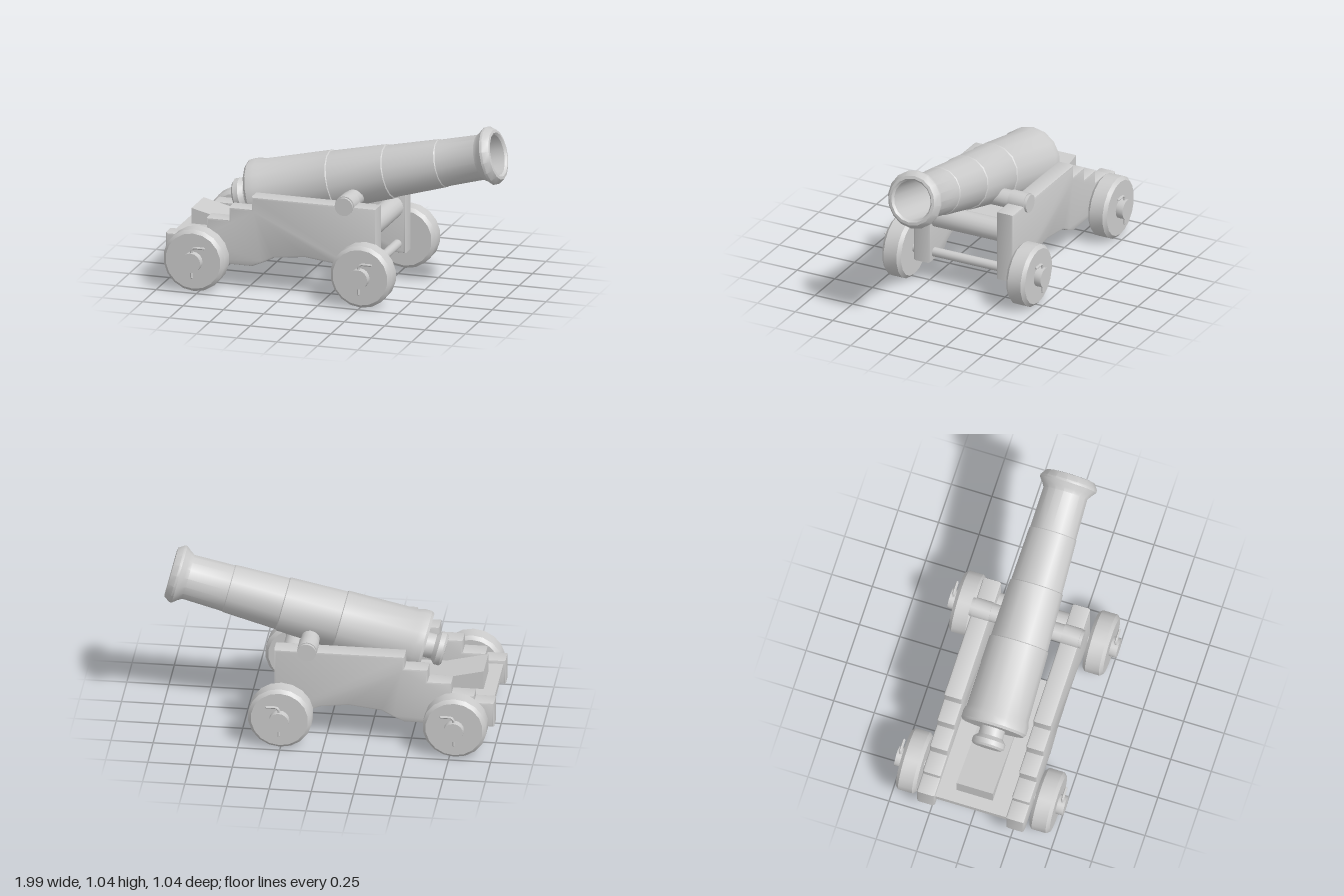
import * as THREE from 'three';
import { toCreasedNormals } from 'three/addons/utils/BufferGeometryUtils.js';

const material = new THREE.MeshStandardMaterial({ color: 0xcccccc });

function add(parent, name, geometry, x = 0, y = 0, z = 0) {
  const mesh = new THREE.Mesh(toCreasedNormals(geometry, 0.6), material);
  mesh.name = name;
  mesh.position.set(x, y, z);
  parent.add(mesh);
  return mesh;
}

const lathe = (points, sides) =>
  new THREE.LatheGeometry(points.map(([r, h]) => new THREE.Vector2(r, h)), sides);

// Cylinder lying along z
const rod = (radius, length, sides = 16) =>
  new THREE.CylinderGeometry(radius, radius, length, sides).rotateX(Math.PI / 2);

// Flat outline in x and y, extruded along z and centred on it
function slab(points, depth, bevel = 0) {
  const shape = new THREE.Shape(points.map(([x, y]) => new THREE.Vector2(x, y)));
  return new THREE.ExtrudeGeometry(shape, {
    depth: depth - 2 * bevel, bevelEnabled: bevel > 0, bevelThickness: bevel,
    bevelSize: bevel, bevelOffset: -bevel, bevelSegments: 2,
  }).translate(0, 0, bevel - depth / 2);
}

function buildBarrel() {
  const barrel = new THREE.Group();
  barrel.name = 'barrel';
  // Radius and distance from the breech: knob, tapered tube, flared muzzle, bore
  const profile = [
    [0, -0.12], [0.085, -0.118], [0.1, -0.105], [0.1, -0.075], [0.075, -0.05], [0.075, 0],
    [0.188, 0], [0.2, 0.015], [0.2, 0.06], [0.19, 0.09],
    [0.181, 0.52], [0.175, 0.525], [0.163, 0.87], [0.157, 0.875], [0.145, 1.2], [0.141, 1.205],
    [0.135, 1.45], [0.15, 1.475], [0.174, 1.505], [0.174, 1.52], [0.15, 1.555], [0.133, 1.558],
    [0.121, 1.545], [0.119, 0.35], [0, 0.33],
  ];
  add(barrel, 'tube', lathe(profile, 16));
  barrel.position.set(-0.553, 0.499, 0);
  barrel.rotation.z = THREE.MathUtils.degToRad(14.2 - 90);
  return barrel;
}

function buildCheek(side) {
  const cheek = new THREE.Group();
  cheek.name = side > 0 ? 'leftCheek' : 'rightCheek';
  const z = side * 0.275;
  // Stepped top at the rear, arched underside between the wheels
  const outline = [
    [-0.998, 0.147], [-0.467, 0.147], [-0.4, 0.175], [-0.33, 0.212], [-0.136, 0.235],
    [0.03, 0.215], [0.075, 0.195], [0.13, 0.14], [0.305, 0.14], [0.305, 0.576],
    [-0.467, 0.576], [-0.467, 0.5], [-0.605, 0.5], [-0.605, 0.422], [-0.745, 0.422],
    [-0.745, 0.345], [-0.88, 0.345], [-0.88, 0.305], [-0.998, 0.305],
  ];
  add(cheek, 'cheekBoard', slab(outline, 0.113, 0.014), 0, 0, z);
  // Strap over the trunnion
  add(cheek, 'trunnionCap', rod(0.06, 0.106), 0.11, 0.576, z);
  return cheek;
}

function buildWheel(x, side) {
  const wheel = new THREE.Group();
  wheel.name = (x > 0 ? 'front' : 'rear') + (side > 0 ? 'Left' : 'Right') + 'Wheel';
  const disc = lathe([
    [0, -0.063], [0.17, -0.063], [0.19, -0.043], [0.19, 0.043], [0.17, 0.063], [0, 0.063],
  ], 18).rotateX(Math.PI / 2);
  add(wheel, 'disc', disc, 0, 0, side * 0.412);
  add(wheel, 'hub', rod(0.06, 0.05), 0, 0, side * 0.495);
  // Linchpin through the hub, bent over at the top
  const pinPath = new THREE.CurvePath();
  const bend = [[0, -0.095], [0, 0.075], [0.015, 0.09], [0.075, 0.09]]
    .map(([px, py]) => new THREE.Vector3(px, py, 0));
  for (let i = 0; i < 3; i++) pinPath.add(new THREE.LineCurve3(bend[i], bend[i + 1]));
  add(wheel, 'linchpin', new THREE.TubeGeometry(pinPath, 24, 0.008, 6), 0, 0, side * 0.5);
  for (const end of [bend[0], bend[3]]) {
    add(wheel, 'pinEnd', new THREE.SphereGeometry(0.008, 6, 4), end.x, end.y, side * 0.5);
  }
  wheel.position.set(x, 0.193, 0);
  return wheel;
}

export function createModel() {
  const model = new THREE.Group();
  model.name = 'cannon';
  model.add(buildBarrel());
  add(model, 'trunnions', rod(0.055, 0.69), 0.11, 0.575, 0);

  for (const side of [1, -1]) {
    model.add(buildCheek(side));
    for (const x of [-0.78, 0.255]) model.add(buildWheel(x, side));
  }
  for (const x of [-0.78, 0.255]) add(model, 'axle', rod(0.028, 0.96, 12), x, 0.196, 0);

  // Carriage cross members
  add(model, 'transom', rod(0.068, 0.45), 0.225, 0.422, 0);
  add(model, 'bed', new THREE.BoxGeometry(0.885, 0.038, 0.45), -0.543, 0.264, 0);

  // Elevating wedge under the breech
  add(model, 'quoin', slab([[-0.91, 0.28], [-0.41, 0.28], [-0.91, 0.4]], 0.224));
  return model;
}
